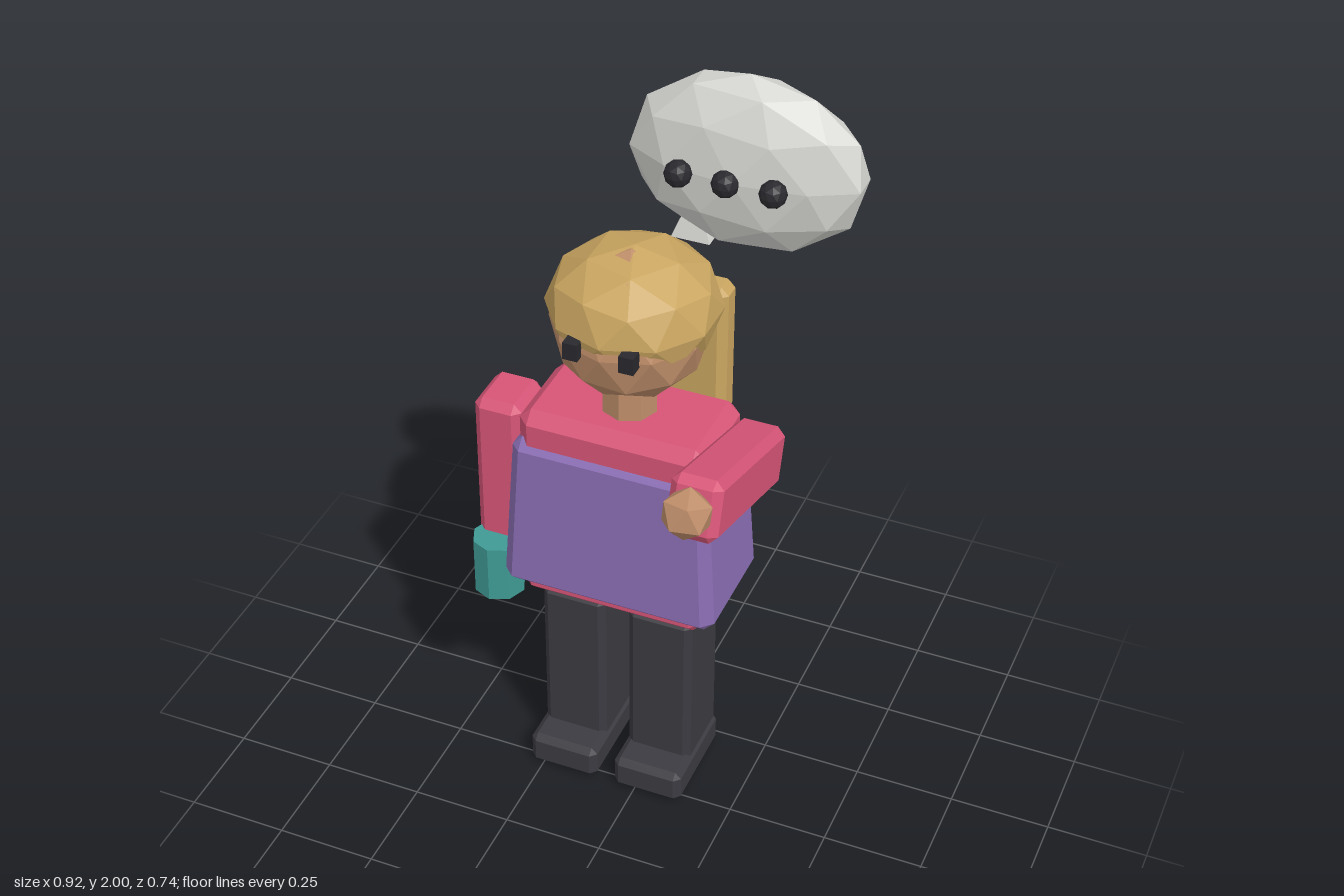
import * as THREE from 'three';
import { ConvexGeometry } from 'three/addons/geometries/ConvexGeometry.js';

const material = (name, color) => {
  const m = new THREE.MeshStandardMaterial({ color });
  m.name = name;
  return m;
};

// Box with chamfered edges; taper scales the width and depth of its top
function chamferBox(w, h, d, c, taper = 1) {
  const points = [];
  for (const sx of [-1, 1]) for (const sy of [-1, 1]) for (const sz of [-1, 1]) {
    const half = [w / 2, h / 2, d / 2];
    for (let axis = 0; axis < 3; axis++) {
      const [x, y, z] = half.map((v, i) => (i === axis ? v : v - c));
      const k = sy > 0 ? taper : 1;
      points.push(new THREE.Vector3(sx * x * k, sy * y, sz * z * k));
    }
  }
  return new ConvexGeometry(points);
}

// Faceted ball standing on a vertex
function facetBall(rx, ry = rx, rz = rx, detail = 1) {
  const g = new THREE.IcosahedronGeometry(1, detail);
  g.rotateZ(-0.5536);
  g.scale(rx, ry, rz);
  const flat = g.index ? g.toNonIndexed() : g;
  flat.computeVertexNormals();
  return flat;
}

const flatFaces = (geometry) => {
  const g = geometry.toNonIndexed();
  g.computeVertexNormals();
  return g;
};

export function createModel() {
  const model = new THREE.Group();
  model.name = 'waitingPerson';
  const skin = material('skin', 0xbf8e6a);
  const hair = material('blondHair', 0xc9a560);
  const pink = material('pinkShirt', 0xd75577);
  const purple = material('purpleVest', 0x8a6db3);
  const dark = material('darkTrousers', 0x3c3b41);
  const black = material('black', 0x29292e);
  const teal = material('tealCup', 0x3f9a94);
  const pale = material('paleBubble', 0xd6d6d2);

  const add = (name, geometry, mat, x, y, z) => {
    const mesh = new THREE.Mesh(geometry, mat);
    mesh.name = name;
    mesh.position.set(x, y, z);
    model.add(mesh);
    return mesh;
  };
  const cx = -0.08, cz = -0.14;

  // Legs, shoes and eyes, mirrored about the body's centre
  for (const [side, s] of [['left', 1], ['right', -1]]) {
    add(side + 'Leg', chamferBox(0.166, 0.46, 0.19, 0.016), dark, cx + s * 0.114, 0.293, cz);
    add(side + 'Shoe', chamferBox(0.18, 0.09, 0.27, 0.016), dark, cx + s * 0.114, 0.045, -0.1);
    add(side + 'Eye', new THREE.BoxGeometry(0.036, 0.044, 0.05), black, cx + s * 0.068, 1.319, 0.018);
  }

  // Shirt and vest
  add('shirt', chamferBox(0.472, 0.545, 0.265, 0.03), pink, cx, 0.7975, cz);
  add('vest', chamferBox(0.545, 0.43, 0.318, 0.027, 0.91), purple, cx, 0.78, cz);

  // Head and hair
  add('neck', flatFaces(new THREE.CylinderGeometry(0.068, 0.068, 0.14, 8)), skin, cx, 1.11, cz);
  add('head', facetBall(0.19, 0.187, 0.187), skin, cx, 1.307, -0.15);
  add('hairCap', facetBall(0.207, 0.156, 0.206), hair, cx, 1.34, -0.168);
  add('longHair', chamferBox(0.385, 0.365, 0.08, 0.02), hair, cx, 1.183, -0.285);

  // Lowered right arm holding a cup
  add('rightArm', chamferBox(0.122, 0.425, 0.15, 0.02), pink, -0.397, 0.8125, -0.145);
  add('rightHand', facetBall(0.06, 0.06, 0.06, 0), skin, -0.397, 0.57, -0.145);
  add('cup', flatFaces(new THREE.CylinderGeometry(0.065, 0.065, 0.155, 8)), teal, -0.398, 0.557, -0.063);

  // Raised left arm reaching forward
  add('leftArm', chamferBox(0.122, 0.148, 0.444, 0.02), pink, 0.243, 1.1, 0.07).rotation.x = -0.305;
  add('leftHand', facetBall(0.062, 0.062, 0.062, 0), skin, 0.243, 1.18, 0.31).rotation.x = -0.305;

  // Speech bubble with three dots and a small tail
  add('bubble', facetBall(0.275, 0.21, 0.104), pale, 0.195, 1.79, cz);
  for (let i = 0; i < 3; i++) {
    add('bubbleDot', facetBall(0.031), black, 0.075 + i * 0.107, 1.79, -0.036);
  }
  const tail = new THREE.ConeGeometry(0.064, 0.12, 4);
  tail.rotateY(Math.PI / 4);
  tail.scale(1, 1, 0.6);
  add('bubbleTail', flatFaces(tail), pale, 0.075, 1.637, cz);

  return model;
}
